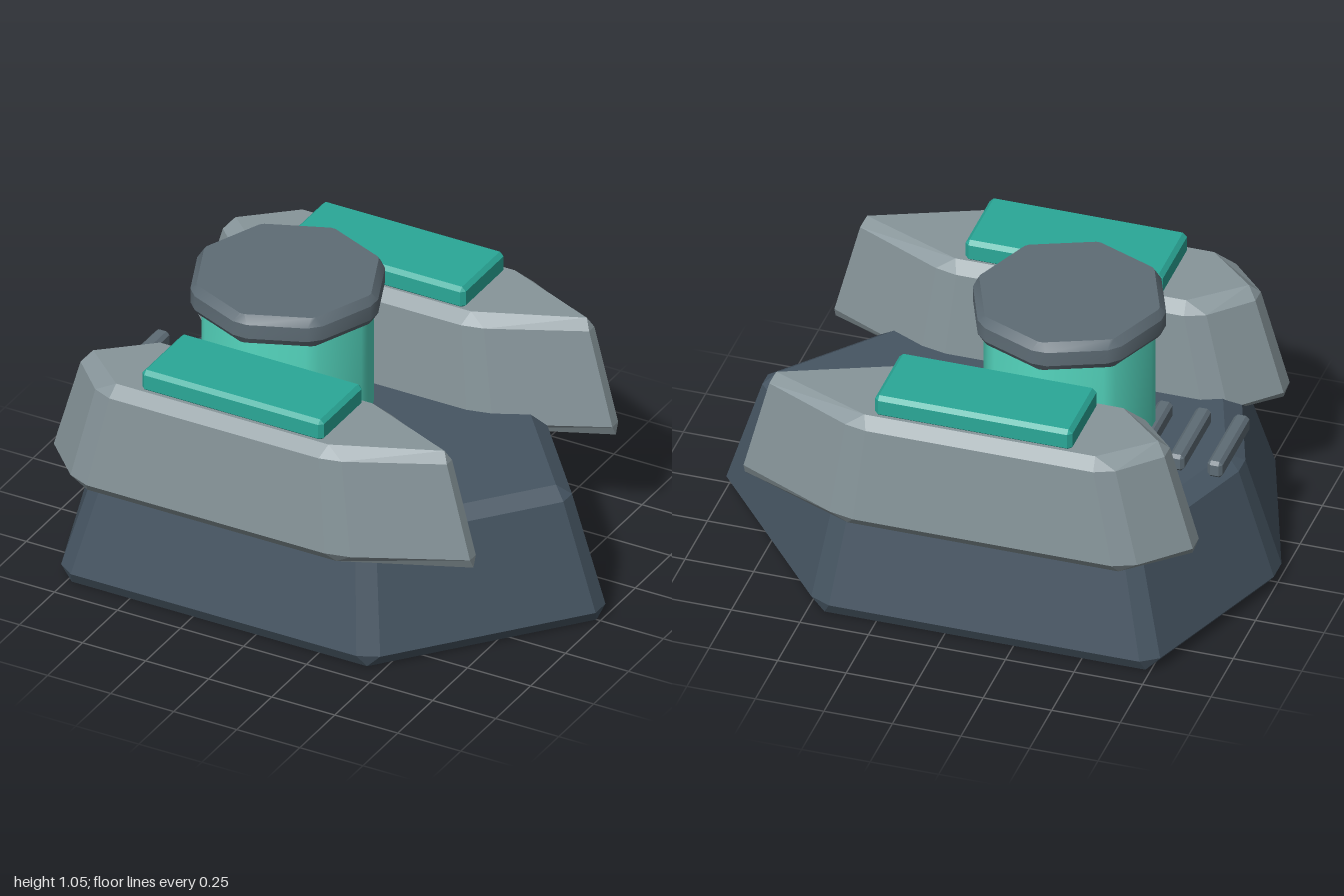
import * as THREE from 'three';
import { toCreasedNormals } from 'three/addons/utils/BufferGeometryUtils.js';

// Cut each corner of a convex outline by distance c along both edges
function chamfer(outline, c) {
  const n = outline.length;
  return outline.flatMap((p, i) => [outline[(i + n - 1) % n], outline[(i + 1) % n]].map(([x, z]) => {
    const t = c / Math.hypot(x - p[0], z - p[1]);
    return [p[0] + (x - p[0]) * t, p[1] + (z - p[1]) * t];
  }));
}

// Solid through layers [y, scaleX, scaleZ, cornerCut] of one outline (x towards z order)
function layeredSolid(outline, layers, crease) {
  const rings = layers.map(([y, sx, sz, c]) =>
    chamfer(outline, c).map(([x, z]) => new THREE.Vector3(x * sx, y, z * sz)));
  const pos = [];
  const tri = (a, b, c) => {
    const area = new THREE.Triangle(a, b, c).getArea();
    if (area > 1e-7) for (const v of [a, b, c]) pos.push(v.x, v.y, v.z);
  };
  const n = rings[0].length;
  const first = rings[0], last = rings[rings.length - 1];
  const middle = (r) => r.reduce((s, v) => s.add(v), new THREE.Vector3()).divideScalar(n);
  const low = middle(first), high = middle(last);
  for (let i = 0; i < n; i++) {
    const j = (i + 1) % n;
    for (let k = 0; k < rings.length - 1; k++) {
      const a = rings[k], b = rings[k + 1];
      tri(a[i], b[i], a[j]);
      tri(a[j], b[i], b[j]);
    }
    tri(low, first[i], first[j]);
    tri(high, last[j], last[i]);
  }
  const g = new THREE.BufferGeometry();
  g.setAttribute('position', new THREE.Float32BufferAttribute(pos, 3));
  g.computeVertexNormals();
  return crease ? toCreasedNormals(g, crease) : g;
}

// Box with bevelled edges, standing on y = 0
function bevelBox(w, h, d, b) {
  const x = w / 2, z = d / 2, sx = 1 - b / x, sz = 1 - b / z;
  return layeredSolid([[x, -z], [x, z], [-x, z], [-x, -z]],
    [[0, sx, sz, 0], [b, 1, 1, b], [h - b, 1, 1, b], [h, sx, sz, 0]]);
}

const octagon = (r) => Array.from({ length: 8 }, (_, i) =>
  [r * Math.cos(i * Math.PI / 4), r * Math.sin(i * Math.PI / 4)]);

export function createModel() {
  const model = new THREE.Group();
  const material = (color) => new THREE.MeshStandardMaterial({ color });
  const slate = material(0x465562), grey = material(0x87959a), teal = material(0x2aa898);
  const mint = material(0x55d8c0), steel = material(0x5e6c75);
  const add = (name, geometry, mat, x = 0, y = 0, z = 0) => {
    const mesh = new THREE.Mesh(geometry, mat);
    mesh.name = name;
    mesh.position.set(x, y, z);
    model.add(mesh);
  };

  // Tapered six-sided base, pointed at both ends
  add('base', layeredSolid(
    [[1.03, 0], [0.46, 0.69], [-0.765, 0.69], [-1.015, 0], [-0.765, -0.69], [0.46, -0.69]],
    [[0, 0.956, 0.956, 0], [0.05, 1, 1, 0.046], [0.46, 0.87, 0.87, 0.046], [0.5, 0.8, 0.8, 0]]), slate);

  // Central tower with an overhanging cap
  add('tower', layeredSolid(octagon(0.315),
    [[0.45, 1, 1, 0.025], [0.97, 1, 1, 0.025]], 0.5), mint, -0.24);
  add('towerCap', layeredSolid(octagon(0.355),
    [[0.94, 0.93, 0.93, 0.01], [0.97, 1, 1, 0.03], [1.025, 1, 1, 0.03], [1.055, 0.93, 0.93, 0.01]], 0.5),
  steel, -0.24);

  // Side pods, each with a raised pad on top
  const pod = layeredSolid(
    [[0.82, 0], [0.36, 0.225], [-0.68, 0.225], [-0.9, 0], [-0.68, -0.225], [0.36, -0.225]],
    [[0.42, 0.95, 0.85, 0], [0.46, 1, 1, 0.048], [0.82, 0.88, 0.88, 0.048], [0.86, 0.81, 0.7, 0]]);
  const pad = bevelBox(0.72, 0.085, 0.3, 0.015);
  for (const [side, s] of [['front', 1], ['back', -1]]) {
    add(side + 'Pod', pod, grey, 0, 0, s * 0.51);
    add(side + 'Pad', pad, teal, -0.1, 0.85, s * 0.508);
  }

  // Vent bars across the end of the base
  const bar = bevelBox(0.055, 0.065, 0.325, 0.012);
  [-0.82, -0.68, -0.54].forEach((x, i) => add('ventBar' + (i + 1), bar, steel, x, 0.5, 0));

  return model;
}
